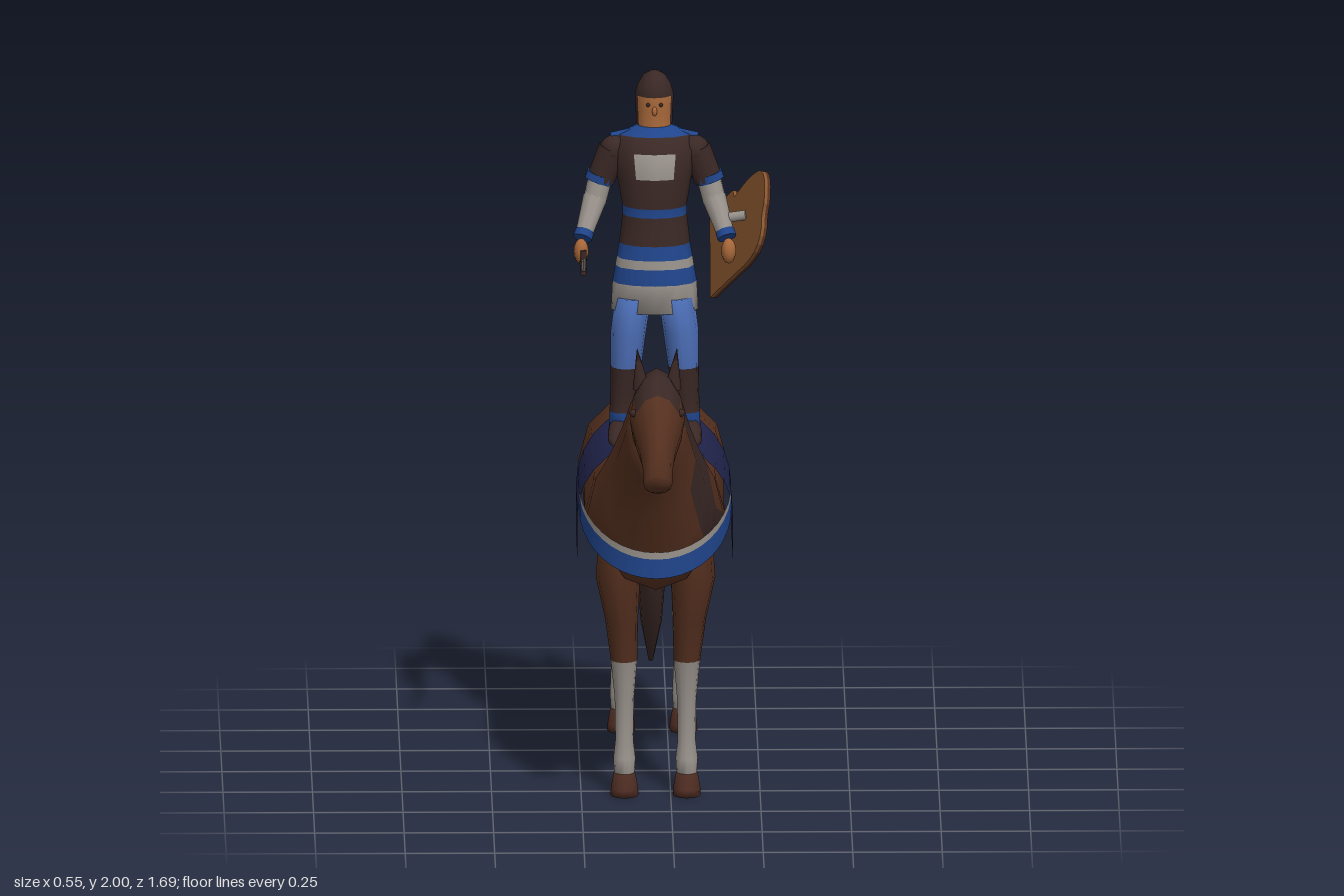
import * as THREE from 'three';

const mat = (name, color) => {
  const m = new THREE.MeshStandardMaterial({ color });
  m.name = name;
  return m;
};

export function createModel() {
  const coat = mat('brownCoat', 0x55301f);
  const dark = mat('darkMail', 0x3a2825);
  const hoofMat = mat('hoofBrown', 0x4a2a20);
  const white = mat('paleGrey', 0x98918b);
  const navy = mat('navyCloth', 0x20234a);
  const blue = mat('blueTrim', 0x20458c);
  const sky = mat('lightBlue', 0x4d6fb8);
  const skin = mat('skin', 0xa8683a);
  const wood = mat('wood', 0x8a5730);
  navy.side = blue.side = white.side = THREE.DoubleSide;

  const root = new THREE.Group();
  root.name = 'horseAndRider';
  const model = new THREE.Group();
  model.name = 'figures';
  model.position.x = -0.042;
  root.add(model);

  const add = (name, geo, material, parent = model) => {
    const m = new THREE.Mesh(geo, material);
    m.name = name;
    parent.add(m);
    return m;
  };

  // Skin over oval rings; ring = [z of top/back, y, z of bottom/front, y, half width, x shift]
  const loft = (name, rings, mats, pick = () => 0, side = 1, n = 12) => {
    const pos = [], faces = mats.map(() => []);
    for (const [zt, yt, zb, yb, w, dx = 0] of rings)
      for (let j = 0; j < n; j++) {
        const t = (j / n) * Math.PI * 2, s = Math.sin(t) / 2;
        pos.push(dx * side + w * Math.cos(t), (yt + yb) / 2 + s * (yt - yb), (zt + zb) / 2 + s * (zt - zb));
      }
    for (let i = 0; i < rings.length - 1; i++)
      for (let j = 0; j < n; j++) {
        const a = i * n + j, b = i * n + (j + 1) % n;
        faces[pick(i, j)].push(a, b, b + n, a, b + n, a + n);
      }
    const last = (rings.length - 1) * n;
    for (let j = 1; j < n - 1; j++) {
      faces[pick(0, 0)].push(0, j + 1, j);
      faces[pick(rings.length - 2, 0)].push(last, last + j, last + j + 1);
    }
    const geo = new THREE.BufferGeometry();
    geo.setAttribute('position', new THREE.Float32BufferAttribute(pos, 3));
    geo.setIndex(faces.flat());
    let start = 0;
    faces.forEach((f, k) => { geo.addGroup(start, f.length, k); start += f.length; });
    geo.computeVertexNormals();
    return add(name, geo, mats);
  };
  // Level ring: height, back z, front z, half width, x shift
  const lv = (y, zb, zf, w, dx) => [zb, y, zf, y, w, dx];

  // Tapered round limb between two points
  const limb = (name, a, b, ra, rb, material) => {
    const A = new THREE.Vector3(...a), B = new THREE.Vector3(...b), d = B.clone().sub(A);
    const m = add(name, new THREE.CylinderGeometry(rb, ra, d.length(), 10), material);
    m.position.copy(A).addScaledVector(d, 0.5);
    m.quaternion.setFromUnitVectors(new THREE.Vector3(0, 1, 0), d.normalize());
  };
  const ball = (name, p, r, material, s = [1, 1, 1]) => {
    const m = add(name, new THREE.SphereGeometry(r, 10, 8), material);
    m.position.set(...p);
    m.scale.set(...s);
  };

  // Horse body and neck, mane falling to the left side
  loft('horseBody', [
    [-0.605, 0.86, -0.605, 0.72, 0.05], [-0.575, 0.93, -0.59, 0.62, 0.14], [-0.52, 0.98, -0.55, 0.57, 0.19],
    [-0.42, 1.0, -0.42, 0.58, 0.208], [-0.28, 1.005, -0.3, 0.635, 0.2], [-0.15, 0.985, -0.15, 0.605, 0.195],
    [0, 0.955, 0, 0.57, 0.195], [0.12, 0.96, 0.12, 0.565, 0.198], [0.2, 0.995, 0.26, 0.59, 0.19],
    [0.24, 1.05, 0.39, 0.61, 0.168], [0.29, 1.1, 0.45, 0.7, 0.14], [0.36, 1.16, 0.5, 0.83, 0.11],
    [0.45, 1.235, 0.58, 0.955, 0.085], [0.53, 1.275, 0.63, 1.03, 0.065],
  ], [coat, dark], (i, j) => (i > 7 && (j <= 3 || (j === 11 && i < 11)) && !(i === 8 && j < 1) ? 1 : 0));

  // Head with dark forelock
  loft('horseHead', [
    [0.5, 1.25, 0.57, 1.06, 0.05], [0.57, 1.29, 0.62, 1.03, 0.07], [0.64, 1.285, 0.675, 1.04, 0.077],
    [0.72, 1.245, 0.7, 1.04, 0.068], [0.78, 1.175, 0.735, 1.01, 0.05], [0.825, 1.11, 0.76, 0.99, 0.042],
    [0.848, 1.045, 0.79, 0.98, 0.04], [0.84, 1.02, 0.815, 0.99, 0.022],
  ], [coat, dark], (i, j) => (i < 3 && j > 0 && j < 5 ? 1 : 0));

  // Tail
  loft('horseTail', [
    [-0.847, 0.115, -0.825, 0.125, 0.006], [-0.785, 0.26, -0.69, 0.26, 0.03], [-0.76, 0.4, -0.63, 0.4, 0.04],
    [-0.73, 0.52, -0.605, 0.5, 0.044], [-0.7, 0.7, -0.62, 0.7, 0.042], [-0.672, 0.85, -0.625, 0.83, 0.035],
    [-0.64, 0.905, -0.61, 0.86, 0.028], [-0.56, 0.95, -0.56, 0.89, 0.025],
  ], [dark]);

  for (const s of [1, -1]) {
    const tag = s > 0 ? 'left' : 'right';
    // Horse legs: pale stocking below the knee
    const stocking = (i) => (i < 4 ? 0 : 1);
    loft(tag + 'FrontLeg', [
      lv(0.05, 0.235, 0.305, 0.028, 0.087), lv(0.1, 0.235, 0.297, 0.031, 0.087), lv(0.15, 0.235, 0.285, 0.025, 0.087),
      lv(0.27, 0.228, 0.287, 0.027, 0.087), lv(0.38, 0.214, 0.303, 0.037, 0.088), lv(0.5, 0.207, 0.333, 0.046, 0.095),
      lv(0.62, 0.17, 0.37, 0.062, 0.105), lv(0.78, 0.15, 0.37, 0.055, 0.1),
    ], [white, coat], stocking, s);
    loft(tag + 'HindLeg', [
      lv(0.05, -0.545, -0.48, 0.028, 0.087), lv(0.1, -0.55, -0.49, 0.031, 0.087), lv(0.2, -0.555, -0.5, 0.027, 0.087),
      lv(0.3, -0.58, -0.505, 0.03, 0.087), lv(0.39, -0.6, -0.487, 0.036, 0.09), lv(0.5, -0.555, -0.42, 0.052, 0.098),
      lv(0.6, -0.575, -0.33, 0.075, 0.11), lv(0.75, -0.6, -0.3, 0.09, 0.11), lv(0.88, -0.56, -0.36, 0.05, 0.1),
    ], [white, coat], stocking, s);
    loft(tag + 'FrontHoof', [lv(0, 0.24, 0.34, 0.039, 0.087), lv(0.02, 0.237, 0.338, 0.038, 0.087),
      lv(0.06, 0.233, 0.305, 0.03, 0.087)], [hoofMat], undefined, s);
    loft(tag + 'HindHoof', [lv(0, -0.547, -0.447, 0.039, 0.087), lv(0.02, -0.547, -0.45, 0.038, 0.087),
      lv(0.06, -0.545, -0.48, 0.03, 0.087)], [hoofMat], undefined, s);
    // Ears and eyes
    const ear = add(tag + 'Ear', new THREE.ConeGeometry(0.024, 0.12, 8), dark);
    ear.position.set(s * 0.05, 1.3, 0.612);
    ear.rotation.set(0.08, 0, -s * 0.1);
    ball(tag + 'HorseEye', [s * 0.067, 1.19, 0.695], 0.011, dark);

    // Rider's leg, boot cuff and shoe
    loft(tag + 'RiderLeg', [
      lv(1.0, 0.03, 0.115, 0.036, 0.092), lv(1.05, 0.03, 0.11, 0.036, 0.09), lv(1.1, 0.02, 0.11, 0.037, 0.087),
      lv(1.18, 0.012, 0.125, 0.043, 0.08), lv(1.28, 0, 0.14, 0.05, 0.073), lv(1.38, -0.01, 0.135, 0.05, 0.06),
    ], [blue, dark, sky], (i) => (i < 1 ? 0 : i < 3 ? 1 : 2), s);
    loft(tag + 'Shoe', [
      [0.015, 1.01, 0.015, 0.97, 0.02, 0.09], [0.04, 1.03, 0.04, 0.965, 0.034, 0.092], [0.1, 1.035, 0.1, 0.965, 0.036, 0.095],
      [0.16, 1.005, 0.16, 0.965, 0.034, 0.097], [0.2, 0.99, 0.2, 0.97, 0.018, 0.098],
    ], [dark], undefined, s);

    // Rider's arm: mail sleeve, blue hem, pale forearm, cuff, hand
    ball(tag + 'Shoulder', [s * 0.112, 1.785, 0.015], 0.043, dark);
    limb(tag + 'Sleeve', [s * 0.115, 1.79, 0.015], [s * 0.15, 1.7, 0.01], 0.042, 0.04, dark);
    limb(tag + 'SleeveHem', [s * 0.149, 1.715, 0.01], [s * 0.156, 1.695, 0.01], 0.042, 0.042, blue);
    limb(tag + 'UpperForearm', [s * 0.15, 1.71, 0.01], [s * 0.168, 1.64, 0.025], 0.034, 0.033, white);
    limb(tag + 'Forearm', [s * 0.166, 1.65, 0.022], [s * 0.198, 1.56, 0.085], 0.034, 0.024, white);
    limb(tag + 'Cuff', [s * 0.196, 1.567, 0.08], [s * 0.202, 1.55, 0.092], 0.027, 0.027, blue);
    ball(tag + 'Hand', [s * 0.206, 1.517, 0.11], 0.026, skin, [0.8, 1.4, 1]);
    // Blue shoulder trim
    limb(tag + 'ShoulderTrim', [s * 0.05, 1.835, -0.005], [s * 0.122, 1.822, 0.01], 0.012, 0.012, blue);
  }

  // Open sheet through rows of points
  const sheet = (name, rows, material) => {
    const n = rows[0].length, idx = [];
    for (let i = 0; i < rows.length - 1; i++)
      for (let j = 0; j < n - 1; j++) {
        const a = i * n + j;
        idx.push(a, a + n, a + 1, a + 1, a + n, a + n + 1);
      }
    const geo = new THREE.BufferGeometry();
    geo.setAttribute('position', new THREE.Float32BufferAttribute(rows.flat(2), 3));
    geo.setIndex(idx);
    geo.computeVertexNormals();
    add(name, geo, material);
  };

  // Saddle blanket draped over the back
  sheet('blanket', [[-0.2, 1.005], [-0.08, 0.985], [0.05, 0.967], [0.175, 0.985]].map(([z, top]) => {
    const row = [[0.217, 0.645, z]];
    for (let k = 0; k <= 14; k++) {
      const t = (k / 14) * Math.PI;
      row.push([0.217 * Math.cos(t), 0.775 + (top - 0.775) * Math.sin(t), z]);
    }
    return [...row, [-0.217, 0.645, z]];
  }), navy);

  // Breast strap with a pale upper edge
  const strapRow = (lift) => Array.from({ length: 21 }, (_, k) => {
    const a = (k / 20 - 0.5) * Math.PI, z = 0.175 + 0.292 * Math.cos(a);
    return [0.213 * Math.sin(a), 0.66 + lift + (0.467 - z) * 0.46, z];
  });
  sheet('breastStrap', [strapRow(0.055), strapRow(0)], blue);
  sheet('breastStrapEdge', [strapRow(0.075), strapRow(0.055)], white);

  // Tunic: striped skirt, belt, mail chest, collar
  const bands = [0, 1, 0, 1, 2, 1, 2, 2, 2, 1];
  loft('tunic', [
    lv(1.34, -0.02, 0.14, 0.122), lv(1.42, -0.02, 0.135, 0.118), lv(1.465, -0.02, 0.13, 0.11), lv(1.49, -0.02, 0.127, 0.106),
    lv(1.53, -0.02, 0.122, 0.099), lv(1.61, -0.03, 0.115, 0.09), lv(1.635, -0.035, 0.115, 0.09), lv(1.72, -0.06, 0.12, 0.105),
    lv(1.79, -0.075, 0.105, 0.117), lv(1.83, -0.075, 0.065, 0.105), lv(1.85, -0.06, 0.035, 0.05),
  ], [white, blue, dark], (i, j) => (i === 7 && (j === 2 || j === 3 || j === 8 || j === 9) ? 0 : bands[i]));

  // Hooded head: face at the front, pale patch at the back
  loft('hoodedHead', [
    lv(1.82, -0.08, 0.03, 0.05), lv(1.85, -0.085, 0.022, 0.05), lv(1.89, -0.095, 0.026, 0.052), lv(1.935, -0.1, 0.026, 0.054),
    lv(1.965, -0.092, 0.022, 0.046), lv(1.99, -0.075, 0, 0.03), lv(2.0, -0.05, -0.02, 0.012),
  ], [dark, skin, white, blue], (i, j) =>
    (i === 0 ? 3 : i < 3 && j > 6 && j < 11 ? 1 : i > 1 && i < 4 && j > 0 && j < 5 ? 2 : 0));
  for (const s of [1, -1]) ball('riderEye', [s * 0.018, 1.915, 0.021], 0.006, dark);
  ball('nose', [0, 1.897, 0.026], 0.009, skin, [0.8, 1.5, 1]);

  // Sabre in the right hand
  const blade = new THREE.Shape();
  blade.moveTo(0.13, 1.475);
  blade.quadraticCurveTo(0.3, 1.48, 0.445, 1.575);
  blade.quadraticCurveTo(0.4, 1.57, 0.34, 1.545);
  blade.quadraticCurveTo(0.25, 1.51, 0.13, 1.5);
  const bladeMesh = add('sabreBlade', new THREE.ExtrudeGeometry(blade, { depth: 0.008, bevelEnabled: false }), white);
  bladeMesh.rotation.y = -Math.PI / 2;
  bladeMesh.position.x = -0.196;
  limb('sabreGrip', [-0.2, 1.49, 0.06], [-0.2, 1.488, 0.14], 0.011, 0.011, dark);
  limb('sabreGuard', [-0.2, 1.455, 0.135], [-0.2, 1.525, 0.135], 0.009, 0.009, dark);

  // Shield on the left arm: square foot, rounded lobes at the head
  const outline = new THREE.Shape();
  outline.moveTo(0, -0.5);
  outline.lineTo(0.5, -0.5);
  outline.quadraticCurveTo(0.88, -0.54, 0.93, -0.25);
  outline.quadraticCurveTo(0.93, -0.1, 0.98, 0);
  outline.quadraticCurveTo(1.04, 0.36, 0.9, 0.44);
  outline.quadraticCurveTo(0.7, 0.5, 0.45, 0.4);
  outline.lineTo(0.42, 0.5);
  outline.lineTo(0, 0.5);
  const U = new THREE.Vector3(0.15, 0.23, 0.34), V = new THREE.Vector3(0, 0.205, -0.165);
  const W = U.clone().cross(V).normalize();
  const place = new THREE.Matrix4().makeBasis(U, V, W).setPosition(0.165, 1.445, -0.14);
  const plate = (name, from, material) => {
    const g = new THREE.ExtrudeGeometry(outline, { depth: 0.009, bevelEnabled: false, curveSegments: 6 });
    add(name, g.translate(0, 0, from).applyMatrix4(place), material);
  };
  plate('shieldInside', 0, wood);
  plate('shieldOutside', -0.009, coat);
  limb('shieldStrap', [0.2, 1.6, 0.06], [0.255, 1.61, 0.07], 0.014, 0.014, white);

  return root;
}
